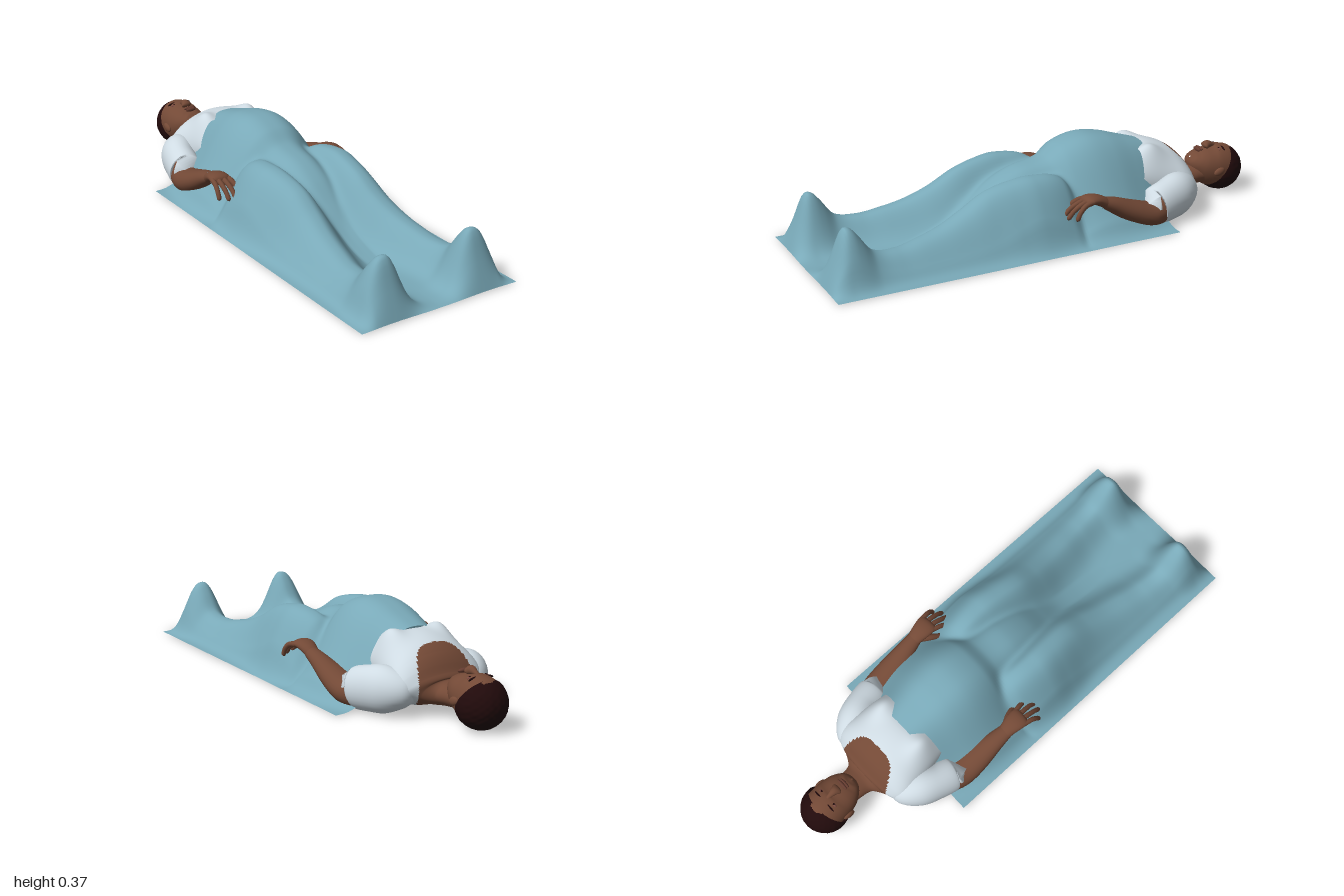
import * as THREE from 'three';

const mat = (name, color, double) => {
  const m = new THREE.MeshStandardMaterial({ color });
  m.name = name;
  if (double) m.side = THREE.DoubleSide;
  return m;
};

export function createModel() {
  const group = new THREE.Group();
  const skin = mat('skin', 0x734936);
  const shirt = mat('shirt white', 0xcfdbe3, true);
  const teal = mat('blanket teal', 0x79a9b8, true);
  const hairMat = mat('hair', 0x210a0b, true);
  const lipMat = mat('lips', 0x653c30);
  const eyeMat = mat('eyes', 0x7a4a42);

  const add = (name, geo, material, parent = group) => {
    const mesh = new THREE.Mesh(geo, material);
    mesh.name = name;
    parent.add(mesh);
    return mesh;
  };

  // Smooth loft through sections [x, y, z, radiusX, radiusY];
  // pick(x, z) chooses a material index, lift(x, z) raises the upper half
  const loft = (sections, rows = 24, sides = 20, pick = () => 0, lift = () => 0) => {
    const path = new THREE.CatmullRomCurve3(sections.map(p => new THREE.Vector3(p[0], p[1], p[2])));
    const size = new THREE.CatmullRomCurve3(sections.map(p => new THREE.Vector3(p[3], p[4], p[2])));
    const Y = new THREE.Vector3(0, 1, 0);
    const pos = [], lists = [[], []];
    for (let i = 0; i <= rows; i++) {
      const c = path.getPoint(i / rows), r = size.getPoint(i / rows), t = path.getTangent(i / rows);
      const side = Y.clone().cross(t).normalize(), up = t.clone().cross(side);
      for (let j = 0; j < sides; j++) {
        const a = j / sides * Math.PI * 2;
        const p = c.clone().addScaledVector(side, Math.cos(a) * r.x).addScaledVector(up, Math.sin(a) * r.y);
        p.y += lift(p.x, p.z) * Math.max(0, Math.sin(a));
        pos.push(p.x, p.y, p.z);
      }
    }
    for (let i = 0; i < rows; i++) for (let j = 0; j < sides; j++) {
      const k = (j + 1) % sides;
      const a = i * sides + j, b = i * sides + k, d = a + sides, c = b + sides;
      const mid = n => (pos[a * 3 + n] + pos[c * 3 + n]) / 2;
      lists[pick(mid(0), mid(2))].push(a, b, c, a, c, d);
    }
    const geo = new THREE.BufferGeometry();
    geo.setAttribute('position', new THREE.Float32BufferAttribute(pos, 3));
    geo.setIndex([...lists[0], ...lists[1]]);
    geo.addGroup(0, lists[0].length, 0);
    geo.addGroup(lists[0].length, lists[1].length, 1);
    geo.computeVertexNormals();
    return geo;
  };

  const ball = (name, material, p, r, parent = group) => {
    const m = add(name, new THREE.SphereGeometry(1, 24, 16), material, parent);
    m.position.set(...p);
    m.scale.set(...r);
    return m;
  };

  // Blanket: stations [z, leg height, leg centre, leg width, body height, body width]
  const stations = [
    [-0.48, 0, 0.13, 0.12, 0.297, 0.185], [-0.4, 0, 0.13, 0.12, 0.322, 0.21],
    [-0.3, 0.02, 0.13, 0.12, 0.352, 0.235], [-0.2, 0.06, 0.13, 0.12, 0.362, 0.24],
    [-0.1, 0.17, 0.13, 0.12, 0.336, 0.225], [-0.03, 0.25, 0.14, 0.14, 0.29, 0.19],
    [0.1, 0.278, 0.15, 0.152, 0.262, 0.17], [0.2, 0.268, 0.145, 0.145, 0.215, 0.16],
    [0.3, 0.24, 0.14, 0.135, 0.14, 0.14], [0.4, 0.185, 0.145, 0.13, 0.07, 0.12],
    [0.5, 0.142, 0.16, 0.12, 0.03, 0.12], [0.6, 0.117, 0.175, 0.11, 0.008, 0.12],
    [0.7, 0.102, 0.19, 0.1, 0, 0.12], [0.8, 0.12, 0.2, 0.095, 0, 0.12],
    [0.86, 0.195, 0.2, 0.1, 0, 0.12], [0.89, 0.226, 0.2, 0.1, 0, 0.12],
    [0.92, 0.22, 0.2, 0.1, 0, 0.12], [0.955, 0.125, 0.2, 0.11, 0, 0.12],
    [1.0, 0.003, 0.2, 0.12, 0, 0.12]];
  const station = z => {
    let i = 0;
    while (i < stations.length - 2 && z > stations[i + 1][0]) i++;
    const at = k => stations[Math.min(Math.max(k, 0), stations.length - 1)];
    const p = at(i - 1), a = at(i), b = at(i + 1), q = at(i + 2);
    const d = b[0] - a[0], t = (z - a[0]) / d;
    return a.map((v, n) => {
      const m0 = (b[n] - p[n]) / (b[0] - p[0]) * d, m1 = (q[n] - a[n]) / (q[0] - a[0]) * d;
      return (2 * t ** 3 - 3 * t * t + 1) * v + (t ** 3 - 2 * t * t + t) * m0
        + (3 * t * t - 2 * t ** 3) * b[n] + (t ** 3 - t * t) * m1;
    });
  };
  const blanketHeight = (x, z) => {
    const [, hl, cl, wl, hc, wc] = station(z), ax = Math.abs(x), off = (ax - cl) / wl;
    const leg = hl * Math.exp(-(off > 0 ? off ** 2.7 : (-off / 0.82) ** 2.1));
    const body = hc * Math.exp(-((ax / wc) ** 2.8));
    const k = 0.055, m = Math.max(k - Math.abs(leg - body), 0) / k;
    const h = Math.max(leg, body) + m * m * k / 4 * Math.min(1, (leg + body) * 4);
    return 0.007 + Math.max(h, 0) * Math.min(1, (0.362 - ax) / 0.07);
  };
  const cloth = new THREE.PlaneGeometry(0.72, 1.48, 80, 150).rotateX(-Math.PI / 2).translate(0, 0, 0.26);
  const cp = cloth.attributes.position;
  for (let i = 0; i < cp.count; i++) cp.setY(i, blanketHeight(cp.getX(i), cp.getZ(i)));
  cloth.computeVertexNormals();
  add('blanket', cloth, teal);

  // Torso and neck, with a scooped neckline between shirt and skin and a soft bust
  const neckline = (x, z) => z > -0.6 - 0.085 * (Math.abs(x) / 0.125) ** 4 ? 0 : 1;
  const bust = (x, z) => 0.055 * Math.exp(-(((Math.abs(x) - 0.125) / 0.05) ** 2) - ((z + 0.465) / 0.07) ** 2);
  add('torso', loft([
    [0, 0.172, -0.418, 0.168, 0.112], [0, 0.163, -0.475, 0.178, 0.136], [0, 0.146, -0.55, 0.19, 0.135],
    [0, 0.13, -0.6, 0.2, 0.118], [0, 0.115, -0.64, 0.195, 0.092], [0, 0.105, -0.667, 0.17, 0.068],
    [0, 0.097, -0.688, 0.115, 0.052], [0, 0.095, -0.715, 0.072, 0.046], [0, 0.098, -0.76, 0.062, 0.045],
    [0, 0.1, -0.82, 0.06, 0.045]], 180, 120, neckline, bust), [shirt, skin]);

  // Head, lying face up
  const head = new THREE.Group();
  head.name = 'head';
  group.add(head);
  add('skull', loft([
    [0, 0.175, -0.752, 0.004, 0.004], [0, 0.17, -0.757, 0.036, 0.026], [0, 0.158, -0.772, 0.057, 0.046],
    [0, 0.143, -0.8, 0.075, 0.067], [0, 0.126, -0.84, 0.085, 0.088], [0, 0.118, -0.88, 0.087, 0.095],
    [0, 0.115, -0.92, 0.083, 0.09], [0, 0.11, -0.955, 0.066, 0.07], [0, 0.108, -0.975, 0.04, 0.04],
    [0, 0.108, -0.985, 0.003, 0.003]], 48, 40), skin, head);
  add('nose', loft([
    [0, 0.204, -0.882, 0.007, 0.006], [0, 0.212, -0.86, 0.011, 0.011], [0, 0.216, -0.838, 0.018, 0.018],
    [0, 0.211, -0.824, 0.023, 0.014], [0, 0.207, -0.818, 0.003, 0.003]], 20, 16), skin, head);
  ball('upper lip', lipMat, [0, 0.206, -0.798], [0.028, 0.008, 0.007], head);
  ball('lower lip', lipMat, [0, 0.203, -0.787], [0.025, 0.009, 0.007], head);
  for (const s of [-1, 1]) {
    ball('eyebrow', hairMat, [s * 0.037, 0.202, -0.894], [0.02, 0.005, 0.0035], head).rotation.z = -s * 0.25;
    ball('eye', eyeMat, [s * 0.036, 0.199, -0.875], [0.013, 0.007, 0.006], head);
    ball('pupil', hairMat, [s * 0.036, 0.2045, -0.875], [0.005, 0.0025, 0.004], head);
    ball('ear', skin, [s * 0.087, 0.115, -0.85], [0.011, 0.017, 0.027], head).rotation.x = 0.3;
  }

  // Short curly hair as a slightly bumpy cap over the back of the skull
  const cap = new THREE.SphereGeometry(0.1, 72, 40, 0, Math.PI * 2, 0, 1.8);
  const hp = cap.attributes.position, v = new THREE.Vector3();
  for (let i = 0; i < hp.count; i++) {
    v.fromBufferAttribute(hp, i);
    v.multiplyScalar(1 + 0.014 * Math.sin(v.x * 190) * Math.sin(v.y * 170) * Math.sin(v.z * 180 + 1));
    hp.setXYZ(i, v.x, v.y, v.z);
  }
  cap.computeVertexNormals();
  const hair = add('hair', cap, hairMat, head);
  hair.position.set(0, 0.107, -0.9);
  hair.quaternion.setFromUnitVectors(new THREE.Vector3(0, 1, 0), new THREE.Vector3(0, -0.55, -0.835).normalize());

  // Arms, sleeves and hands, mirrored by s
  for (const s of [-1, 1]) {
    const arm = new THREE.Group();
    arm.name = s > 0 ? 'leftArm' : 'rightArm';
    group.add(arm);
    const limb = (name, sections, material, rows, sides) =>
      add(name, loft(sections.map(p => [p[0] * s, ...p.slice(1)]), rows, sides), material, arm);

    limb('sleeve', [
      [0.11, 0.107, -0.645, 0.03, 0.04], [0.145, 0.107, -0.62, 0.066, 0.068], [0.19, 0.105, -0.565, 0.078, 0.092],
      [0.22, 0.097, -0.5, 0.072, 0.09], [0.235, 0.085, -0.432, 0.068, 0.077], [0.235, 0.085, -0.434, 0.04, 0.04]],
      shirt, 40, 32);
    limb('arm', [
      [0.215, 0.09, -0.52, 0.05, 0.06], [0.238, 0.067, -0.44, 0.062, 0.057], [0.247, 0.066, -0.39, 0.066, 0.053],
      [0.257, 0.098, -0.305, 0.058, 0.046], [0.269, 0.144, -0.215, 0.039, 0.033],
      [0.274, 0.166, -0.165, 0.031, 0.024]], skin, 36, 24);
    limb('palm', [
      [0.274, 0.158, -0.18, 0.028, 0.022], [0.274, 0.176, -0.15, 0.034, 0.022], [0.275, 0.189, -0.115, 0.041, 0.02],
      [0.277, 0.189, -0.085, 0.042, 0.016], [0.278, 0.182, -0.073, 0.034, 0.006]], skin, 20, 20);
    for (let i = 0; i < 4; i++) {
      const x = 0.246 + 0.021 * i, e = 0.232 + 0.029 * i, reach = [0.0, 0.015, 0.01, -0.015][i];
      limb('finger', [
        [x, 0.19, -0.1, 0.01, 0.011], [(x + e) / 2, 0.181, -0.06, 0.0105, 0.011],
        [e, 0.157, -0.025 + reach * 0.6, 0.0095, 0.01], [e, 0.132, -0.008 + reach, 0.0085, 0.009],
        [e, 0.126, -0.005 + reach, 0.001, 0.001]], skin, 14, 10);
    }
    limb('thumb', [
      [0.255, 0.17, -0.15, 0.013, 0.014], [0.236, 0.163, -0.115, 0.014, 0.014],
      [0.22, 0.147, -0.08, 0.011, 0.011], [0.214, 0.132, -0.056, 0.009, 0.009],
      [0.213, 0.129, -0.05, 0.001, 0.001]], skin, 14, 10);
  }
  return group;
}
